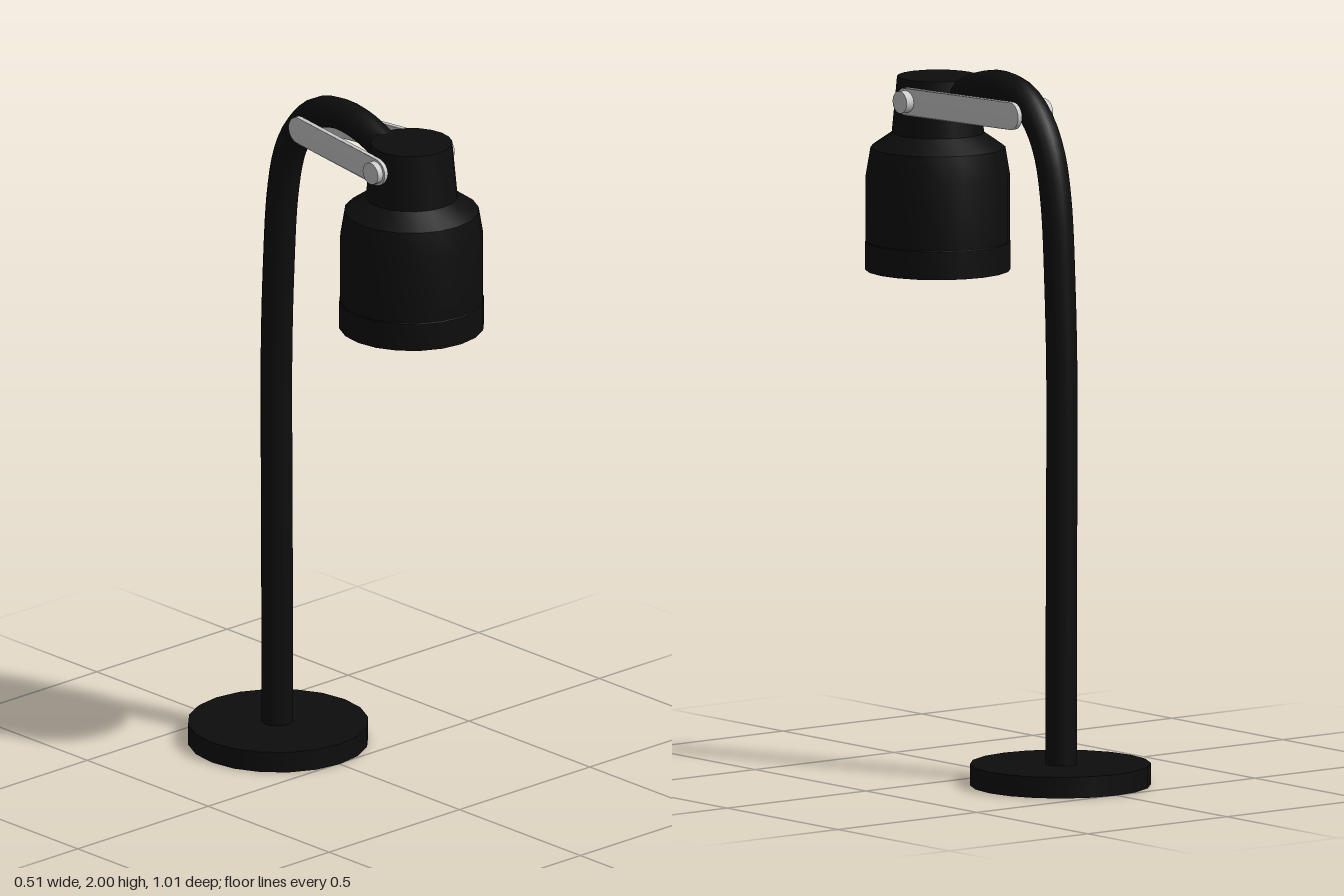
import * as THREE from 'three';
import { toCreasedNormals } from 'three/addons/utils/BufferGeometryUtils.js';

const black = new THREE.MeshStandardMaterial({ color: 0x0d0d0d });
const grey = new THREE.MeshStandardMaterial({ color: 0xcccccc });

const BASE_Z = -0.25, HEAD_Z = 0.302, PIVOT_Y = 1.89;

function add(parent, name, geometry, material) {
  const mesh = new THREE.Mesh(geometry, material);
  mesh.name = name;
  parent.add(mesh);
  return mesh;
}

// Rounded flat bar running along z, bent at its two pivot points
function armGeometry(side) {
  const back = -0.1, front = 0.29, r = 0.039, thick = 0.014;
  const shape = new THREE.Shape();
  shape.absarc(front, 0, r, -Math.PI / 2, Math.PI / 2, false);
  shape.absarc(back, 0, r, Math.PI / 2, Math.PI * 1.5, false);
  shape.closePath();
  const geo = new THREE.ExtrudeGeometry(shape, { depth: thick, bevelEnabled: false, curveSegments: 10 });
  geo.translate(0, 0, -thick / 2);
  geo.rotateY(-Math.PI / 2);
  const p = geo.attributes.position;
  for (let i = 0; i < p.count; i++) {
    const t = THREE.MathUtils.clamp((p.getZ(i) - back) / (front - back), 0, 1);
    p.setX(i, p.getX(i) + side * THREE.MathUtils.lerp(0.056, 0.121, t));
  }
  geo.translate(0, PIVOT_Y, 0);
  return toCreasedNormals(geo, 0.6);
}

export function createModel() {
  const lamp = new THREE.Group();
  lamp.name = 'deskLamp';

  // Round foot
  add(lamp, 'base', new THREE.CylinderGeometry(0.255, 0.255, 0.06, 20), black)
    .position.set(0, 0.03, BASE_Z);

  // Curved stem, [z, y] points from the foot into the lamp head
  const path = [
    [-0.254, 0.04], [-0.254, 0.4], [-0.256, 0.8], [-0.257, 1.13], [-0.249, 1.4], [-0.23, 1.66],
    [-0.2, 1.79], [-0.15, 1.877], [-0.08, 1.935], [0.01, 1.955], [0.1, 1.943], [0.2, 1.903], [0.28, 1.865],
  ].map(([z, y]) => new THREE.Vector3(0, y, z));
  add(lamp, 'stem', new THREE.TubeGeometry(new THREE.CatmullRomCurve3(path), 64, 0.045, 14), black);

  // Shade with recessed underside, rim band, shoulder and neck
  const profile = [
    [0, 1.52], [0.187, 1.52], [0.187, 1.4], [0.205, 1.4], [0.205, 1.48], [0.203, 1.482],
    [0.203, 1.67], [0.19, 1.748], [0.13, 1.79], [0.115, 1.95], [0, 1.95],
  ].map(([r, y]) => new THREE.Vector2(r, y));
  add(lamp, 'shade', toCreasedNormals(new THREE.LatheGeometry(profile, 20), 0.6), black)
    .position.z = HEAD_Z;

  // Mirrored support arms and pivot knobs
  for (const side of [1, -1]) {
    const label = side > 0 ? 'left' : 'right';
    add(lamp, label + 'Arm', armGeometry(side), grey);
    const knob = add(lamp, label + 'Knob', new THREE.CylinderGeometry(0.032, 0.032, 0.042, 16), grey);
    knob.rotation.z = Math.PI / 2;
    knob.position.set(side * 0.126, PIVOT_Y, 0.29);
  }
  return lamp;
}
